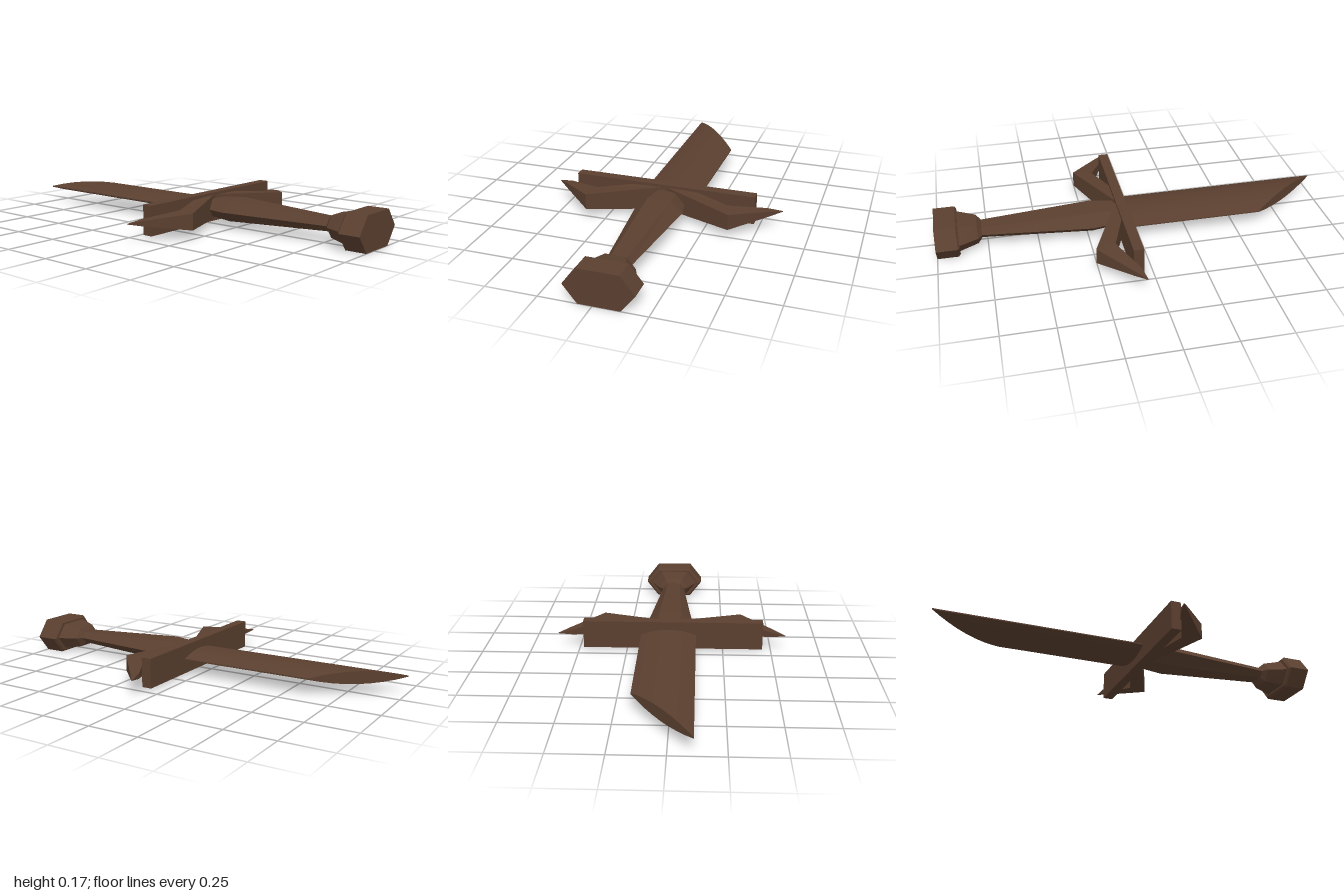
import * as THREE from 'three';

const brown = new THREE.MeshStandardMaterial({ color: 0x5a3f2f });
brown.name = 'dark brown';
const CY = 0.088, CZ = -0.03; // long axis of the weapon

// Skin a row of convex rings (equal point counts) and cap both ends, flat faced.
function loft(name, rings) {
  const n = rings[0].length, pos = [];
  const tri = (a, b, c) => pos.push(...a, ...b, ...c);
  for (let r = 0; r < rings.length - 1; r++) {
    const A = rings[r], B = rings[r + 1];
    for (let i = 0; i < n; i++) {
      const j = (i + 1) % n;
      tri(A[i], A[j], B[j]);
      tri(A[i], B[j], B[i]);
    }
  }
  const first = rings[0], last = rings[rings.length - 1];
  for (let i = 1; i < n - 1; i++) {
    tri(first[0], first[i + 1], first[i]);
    tri(last[0], last[i], last[i + 1]);
  }
  // Turn the faces outward if the enclosed volume is negative
  const a = new THREE.Vector3(), b = new THREE.Vector3(), c = new THREE.Vector3();
  let volume = 0;
  for (let k = 0; k < pos.length; k += 9) {
    a.fromArray(pos, k); b.fromArray(pos, k + 3); c.fromArray(pos, k + 6);
    volume += a.dot(b.cross(c));
  }
  if (volume < 0) {
    for (let k = 0; k < pos.length; k += 9) {
      for (let d = 0; d < 3; d++) {
        [pos[k + 3 + d], pos[k + 6 + d]] = [pos[k + 6 + d], pos[k + 3 + d]];
      }
    }
  }
  const geometry = new THREE.BufferGeometry();
  geometry.setAttribute('position', new THREE.Float32BufferAttribute(pos, 3));
  geometry.computeVertexNormals();
  const mesh = new THREE.Mesh(geometry, brown);
  mesh.name = name;
  return mesh;
}

// Flat-topped hexagon across the long axis
const hex = (x, halfZ, flatZ, halfY) =>
  [[halfZ, 0], [flatZ, halfY], [-flatZ, halfY], [-halfZ, 0], [-flatZ, -halfY], [flatZ, -halfY]]
    .map(([z, y]) => [x, CY + y, CZ + z]);

// Lens-shaped blade section; the far end is cut on a diagonal
function bladeRing(endX) {
  const steps = 8, top = [], bottom = [];
  for (let i = 0; i <= steps; i++) {
    const t = i / steps, u = 2 * t - 1;
    const z = -0.175 + 0.285 * t, h = 0.003 + 0.028 * (1 - u * u);
    top.push([endX(t), CY + h, z]);
    bottom.unshift([endX(t), CY - h, z]);
  }
  return [...top, ...bottom];
}

// Swept-back prong of the guard, side = +1 or -1 along z
function prong(side) {
  const mid = side > 0 ? -0.02 : -0.015;
  // inner x, inner z, outer x, outer z, half height
  const sections = [
    [0.075, 0.10, 0.09, -0.01, 0.062],
    [0.162, 0.342, 0.26, 0.367, 0.04],
    [0.075, 0.52, 0.112, 0.537, 0.013],
    [0.06, 0.593, 0.063, 0.594, 0.001],
  ];
  return loft(side > 0 ? 'leftGuardProng' : 'rightGuardProng', sections.map(([xi, zi, xo, zo, h]) => [
    [xi, CY - h, mid + side * zi], [xo, CY - h, mid + side * zo],
    [xo, CY + h, mid + side * zo], [xi, CY + h, mid + side * zi],
  ]));
}

export function createModel() {
  const model = new THREE.Group();
  model.name = 'shortSword';

  model.add(loft('blade', [bladeRing((t) => -0.62 - 0.38 * t), bladeRing(() => 0.06)]));

  const guard = new THREE.Mesh(new THREE.BoxGeometry(0.05, 0.145, 0.93), brown);
  guard.name = 'crossguard';
  guard.position.set(0.075, CY, -0.01);
  model.add(guard, prong(1), prong(-1));

  // Grip swells near the guard and narrows toward the pommel
  model.add(loft('grip', [
    hex(0.08, 0.09, 0.045, 0.042),
    hex(0.23, 0.12, 0.06, 0.052),
    hex(0.79, 0.06, 0.035, 0.028),
  ]));

  model.add(loft('collar', [
    hex(0.775, 0.06, 0.035, 0.03),
    hex(0.797, 0.09, 0.05, 0.052),
    hex(0.895, 0.135, 0.078, 0.069),
  ]));

  model.add(loft('pommel', [
    hex(0.888, 0.15, 0.09, 0.076),
    hex(0.897, 0.163, 0.097, 0.085),
    hex(1.0, 0.163, 0.097, 0.085),
  ]));

  return model;
}
